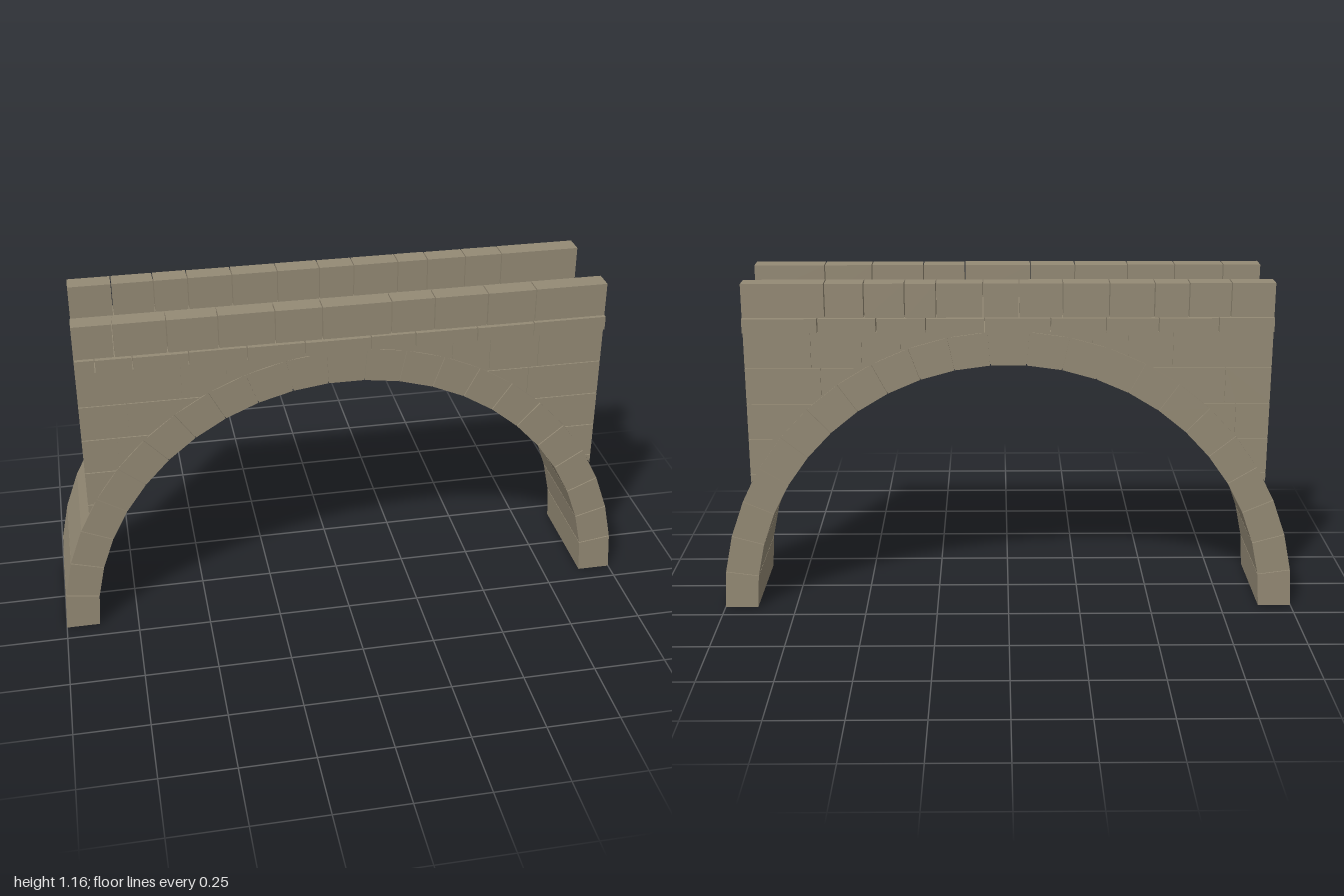
import * as THREE from 'three';

const INNER = 0.885, OUTER = 1, HALF = 0.885, DEPTH = 0.376, GAP = 0.0035;

export function createModel() {
  const bridge = new THREE.Group();
  bridge.name = 'archBridge';
  const stone = new THREE.MeshStandardMaterial({ color: 0x948a75 });
  stone.name = 'stone';

  const add = (parent, geometry, name) => {
    const mesh = new THREE.Mesh(geometry, stone);
    mesh.name = name;
    parent.add(mesh);
    return mesh;
  };
  const group = (name) => {
    const g = new THREE.Group();
    g.name = name;
    bridge.add(g);
    return g;
  };
  // Flat outline pulled through the bridge, centred on z = 0
  const slice = (points, depth) => {
    const shape = new THREE.Shape(points.map(([x, y]) => new THREE.Vector2(x, y)));
    return new THREE.ExtrudeGeometry(shape, { depth, bevelEnabled: false }).translate(0, 0, -depth / 2);
  };
  const polar = (r, a) => [r * Math.cos(a), r * Math.sin(a)];
  const arc = (r, a0, a1, n) => Array.from({ length: n + 1 }, (_, i) => polar(r, a0 + ((a1 - a0) * i) / n));

  // Mortar core, slightly recessed behind every joint
  const side = HALF - 0.005, coreR = OUTER - 0.006, a = Math.acos(side / coreR);
  add(bridge, slice([
    ...arc(coreR, 0, a, 6), [side, 0.998], [-side, 0.998],
    ...arc(coreR, Math.PI - a, Math.PI, 6), ...arc(INNER + 0.004, Math.PI, 0, 46),
  ], DEPTH - 0.01), 'mortarCore');

  // Arch ring of wedge stones
  const ring = group('archRing'), count = 23;
  for (let i = 0; i < count; i++) {
    const a0 = (Math.PI * i) / count + (i ? GAP / 2 : 0);
    const a1 = (Math.PI * (i + 1)) / count - (i < count - 1 ? GAP / 2 : 0);
    add(ring, slice([polar(INNER, a0), polar(OUTER, a0), polar(OUTER, a1), polar(INNER, a1)], DEPTH), 'wedgeStone');
  }

  // Spandrel courses: [bottom, top, left joints, right joints], cut to the back of the ring
  const courses = [
    [0.466, 0.5, [], []],
    [0.5, 0.625, [], []],
    [0.625, 0.75, [0.77], []],
    [0.75, 0.875, [0.73], [0.63]],
    [0.875, 1, [0.28, 0.4, 0.55], [0.36, 0.49, 0.66]],
  ];
  const spandrels = group('spandrels');
  const ringY = (x) => Math.sqrt(Math.max(0, OUTER - x * x));
  for (const [y0, y1, left, right] of courses) {
    for (const [sign, joints] of [[-1, left], [1, right]]) {
      const top = y1 - GAP / 2, base = y0 + GAP / 2;
      const xs = [ringY(top), ...joints, HALF];
      for (let i = 0; i < xs.length - 1; i++) {
        const x0 = xs[i] + (i ? GAP / 2 : 0);
        const x1 = xs[i + 1] - (i < xs.length - 2 ? GAP / 2 : 0);
        const bottom = [];
        for (let k = 0; k <= 8; k++) {
          const x = x0 + ((x1 - x0) * k) / 8;
          bottom.push([sign * x, Math.max(base, Math.min(top, ringY(x)))]);
        }
        if (i) bottom.push([sign * x1, top], [sign * x0, top]);
        else bottom.push([sign * x1, top]);
        add(spandrels, slice(bottom, DEPTH), 'spandrelStone');
      }
    }
  }

  // Row of blocks along x between the given joints
  const row = (parent, joints, y0, y1, z0, z1, name, jitter = 0) => {
    const xs = [-HALF, ...joints, HALF];
    for (let i = 0; i < xs.length - 1; i++) {
      const x0 = xs[i] + (i ? GAP / 2 : 0);
      const x1 = xs[i + 1] - (i < xs.length - 2 ? GAP / 2 : 0);
      const out = jitter * (i % 3 - 1);
      const d = z1 - z0 + out;
      const block = add(parent, new THREE.BoxGeometry(x1 - x0, y1 - y0, d), name);
      const zMid = (z0 + z1) / 2;
      block.position.set((x0 + x1) / 2, (y0 + y1) / 2, zMid + (Math.sign(zMid) * out) / 2);
    }
  };

  // Deck: wide paving slabs with an overhanging kerb course on each side
  const deck = group('deck');
  row(deck, [-0.7, -0.5, -0.325, -0.14, 0.08, 0.275, 0.44, 0.635], 1, 1.048, -0.121, 0.121, 'pavingSlab');
  row(deck, [-0.82, -0.7, -0.52, -0.33, -0.14, 0.08, 0.23, 0.44, 0.635], 1, 1.048, 0.1225, 0.203, 'frontKerb', 0.002);
  row(deck, [-0.7, -0.5, -0.325, -0.14, 0.08, 0.275, 0.44, 0.635], 1, 1.048, -0.203, -0.1225, 'backKerb', 0.002);

  // Parapet walls
  const parapets = group('parapets');
  row(parapets, [-0.755, -0.585, -0.42, -0.235, -0.08, 0.15, 0.295, 0.475, 0.64],
    1.047, 1.163, 0.12, 0.188, 'frontParapetStone', 0.001);
  row(parapets, [-0.74, -0.6, -0.485, -0.335, -0.18, -0.035, 0.085, 0.24, 0.345, 0.48, 0.61],
    1.047, 1.163, -0.188, -0.12, 'backParapetStone', 0.001);

  return bridge;
}
